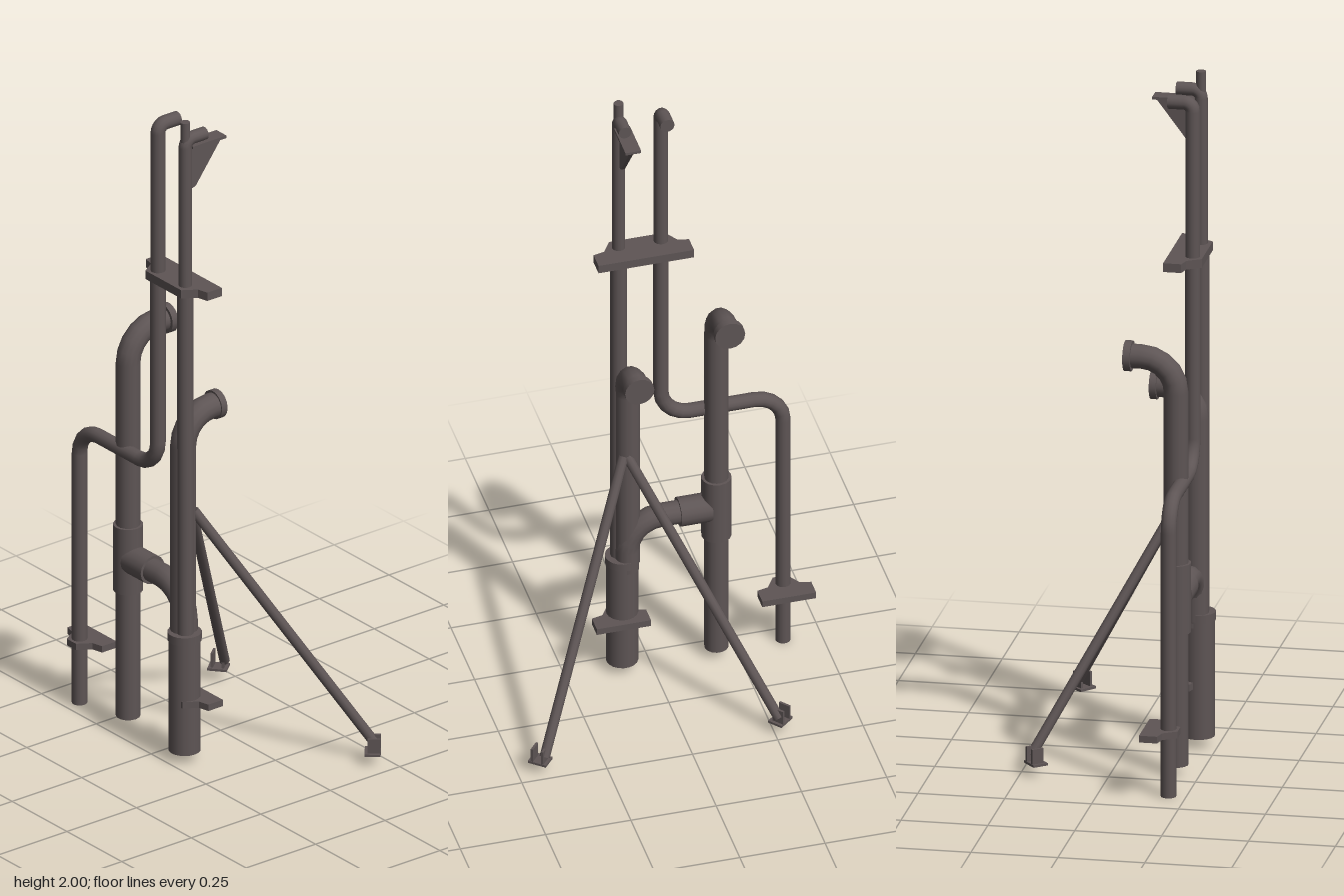
import * as THREE from 'three';

const V = (x, y, z) => new THREE.Vector3(x, y, z);
const UP = V(0, 1, 0);

// Straight runs joined by rounded bends, sampled only where the pipe turns
class PipePath extends THREE.Curve {
  constructor(corners, bend, steps = 5) {
    super();
    this.pts = [corners[0]];
    this.dirs = [corners[1].clone().sub(corners[0]).normalize()];
    for (let i = 1; i < corners.length - 1; i++) {
      const a = corners[i].clone().sub(corners[i - 1]).normalize();
      const b = corners[i + 1].clone().sub(corners[i]).normalize();
      const centre = corners[i].clone().addScaledVector(a, -bend).addScaledVector(b, bend);
      for (let k = 0; k <= steps; k++) {
        const t = (k / steps) * Math.PI / 2;
        this.pts.push(centre.clone().addScaledVector(b, -bend * Math.cos(t)).addScaledVector(a, bend * Math.sin(t)));
        this.dirs.push(a.clone().multiplyScalar(Math.cos(t)).addScaledVector(b, Math.sin(t)));
      }
    }
    const n = corners.length;
    this.pts.push(corners[n - 1]);
    this.dirs.push(corners[n - 1].clone().sub(corners[n - 2]).normalize());
  }
  index(u) { return Math.round(u * (this.pts.length - 1)); }
  getPoint(u) { return this.pts[this.index(u)].clone(); }
  getPointAt(u) { return this.getPoint(u); }
  getTangent(u) { return this.dirs[this.index(u)].clone(); }
  getTangentAt(u) { return this.getTangent(u); }
}

export function createModel() {
  const model = new THREE.Group();
  model.name = 'pipeAssembly';
  const metal = new THREE.MeshStandardMaterial({ color: 0x5e5555 });
  metal.name = 'darkMetal';

  const add = (name, geometry, parent = model) => {
    const mesh = new THREE.Mesh(geometry, metal);
    mesh.name = name;
    parent.add(mesh);
    return mesh;
  };

  // Closed straight cylinder between two points
  const rod = (name, a, b, r, sides = 16) => {
    const dir = b.clone().sub(a);
    const mesh = add(name, new THREE.CylinderGeometry(r, r, dir.length(), sides));
    mesh.position.copy(a).add(b).multiplyScalar(0.5);
    mesh.quaternion.setFromUnitVectors(UP, dir.normalize());
    return mesh;
  };

  // Bent pipe with capped ends
  const pipe = (name, corners, r, bend) => {
    const group = new THREE.Group();
    group.name = name;
    model.add(group);
    const path = new PipePath(corners, bend);
    const last = path.pts.length - 1;
    add(name + 'Wall', new THREE.TubeGeometry(path, last, r, 14, false), group);
    for (const [i, s] of [[0, -1], [last, 1]]) {
      const cap = add(name + 'Cap', new THREE.CircleGeometry(r, 14), group);
      cap.position.copy(path.pts[i]);
      cap.quaternion.setFromUnitVectors(V(0, 0, 1), path.dirs[i].clone().multiplyScalar(s));
    }
  };

  // Mast with a short spout at the top
  const mx = -0.2, mz = 0.092;
  rod('mastLower', V(mx, 0.03, mz), V(mx, 1.47, mz), 0.024);
  pipe('mastUpper', [V(mx, 1.46, mz), V(mx, 1.945, mz), V(-0.13, 1.945, mz)], 0.019, 0.025);
  rod('mastTip', V(mx, 1.93, mz), V(mx, 2, mz), 0.014, 12);

  // Gusset bracket under the spout
  const gusset = new THREE.Shape([
    new THREE.Vector2(-0.185, 1.92), new THREE.Vector2(-0.185, 1.785),
    new THREE.Vector2(-0.165, 1.79), new THREE.Vector2(-0.067, 1.92)]);
  add('gusset', new THREE.ExtrudeGeometry(gusset, { depth: 0.012, bevelEnabled: false })).position.z = mz - 0.009;
  add('gussetTop', new THREE.BoxGeometry(0.12, 0.008, 0.046)).position.set(-0.125, 1.92, 0.086);

  // Front riser with a side outlet
  pipe('frontRiser', [V(-0.19, 0.38, 0.07), V(-0.19, 1.07, 0.07), V(-0.07, 1.07, 0.07)], 0.037, 0.095);
  rod('frontOutletFlange', V(-0.082, 1.07, 0.068), V(-0.062, 1.07, 0.068), 0.043);

  // Casing around the foot of the mast and front riser
  rod('casing', V(-0.195, 0.03, 0.083), V(-0.195, 0.39, 0.083), 0.046, 18);
  rod('casingCollar', V(-0.195, 0.375, 0.083), V(-0.195, 0.4, 0.083), 0.049, 18);

  // Rear riser with a side outlet and sleeve
  const rx = -0.183, rz = -0.19;
  pipe('rearRiser', [V(rx, 0.03, rz), V(rx, 1.235, rz), V(-0.05, 1.235, rz)], 0.035, 0.1);
  rod('rearOutletFlange', V(-0.057, 1.235, rz), V(-0.036, 1.235, rz), 0.044);
  rod('rearSleeve', V(rx, 0.425, rz), V(rx, 0.63, rz), 0.043);

  // Cross pipe joining the two risers
  pipe('crossPipe', [V(rx, 0.527, rz), V(rx, 0.527, 0.072), V(rx, 0.36, 0.072)], 0.035, 0.1);
  rod('crossCoupling', V(rx, 0.527, -0.17), V(rx, 0.527, -0.078), 0.043);

  // Thin line that steps back and runs to the ground
  pipe('offsetPipe', [
    V(-0.2, 0, -0.39), V(-0.2, 0.867, -0.39), V(-0.2, 0.867, -0.032),
    V(-0.2, 1.945, -0.032), V(-0.13, 1.945, -0.032)], 0.022, 0.03);
  model.remove(model.getObjectByName('offsetPipe'));
  pipe('offsetPipeLower', [
    V(-0.2, 0, -0.39), V(-0.2, 0.867, -0.39), V(-0.2, 0.867, -0.032), V(-0.2, 1.47, -0.032)], 0.022, 0.085);
  pipe('offsetPipeUpper', [
    V(-0.2, 1.46, -0.032), V(-0.2, 1.945, -0.032), V(-0.13, 1.945, -0.032)], 0.021, 0.025);

  // Clamp plates with chamfered backs, lying flat
  const clamp = (name, y, z0, z1, thick) => {
    const half = (z1 - z0) / 2;
    const side = [[-0.13, half], [-0.182, half], [-0.19, half - 0.033], [-0.23, half - 0.058]];
    const outline = [...side, ...side.map(([x, z]) => [x, -z]).reverse()];
    const shape = new THREE.Shape(outline.map(([x, z]) => new THREE.Vector2(x, z)));
    const mesh = add(name, new THREE.ExtrudeGeometry(shape, { depth: thick, bevelEnabled: false }));
    mesh.rotation.x = -Math.PI / 2;
    mesh.position.set(0, y, (z0 + z1) / 2);
  };
  clamp('upperClamp', 1.463, -0.11, 0.17, 0.026);
  clamp('mastClamp', 0.18, 0.016, 0.175, 0.02);
  clamp('offsetPipeClamp', 0.18, -0.468, -0.31, 0.02);

  // Two braces spreading out to footplates
  for (const s of [1, -1]) {
    const side = s > 0 ? 'left' : 'right';
    const z = (d) => 0.082 + s * d;
    rod(side + 'Brace', V(-0.165, 0.77, z(0.005)), V(0.22, 0.055, z(0.343)), 0.015, 10);
    const foot = new THREE.Group();
    foot.name = side + 'Foot';
    foot.position.set(0.205, 0.032, z(0.352));
    foot.rotation.y = -s * 0.7;
    model.add(foot);
    add('footPlate', new THREE.BoxGeometry(0.046, 0.007, 0.056), foot).position.y = 0.0035;
    for (const k of [-1, 1]) {
      add('footLug', new THREE.BoxGeometry(0.036, 0.045, 0.007), foot).position.set(0.004, 0.028, k * 0.016);
    }
  }
  return model;
}
